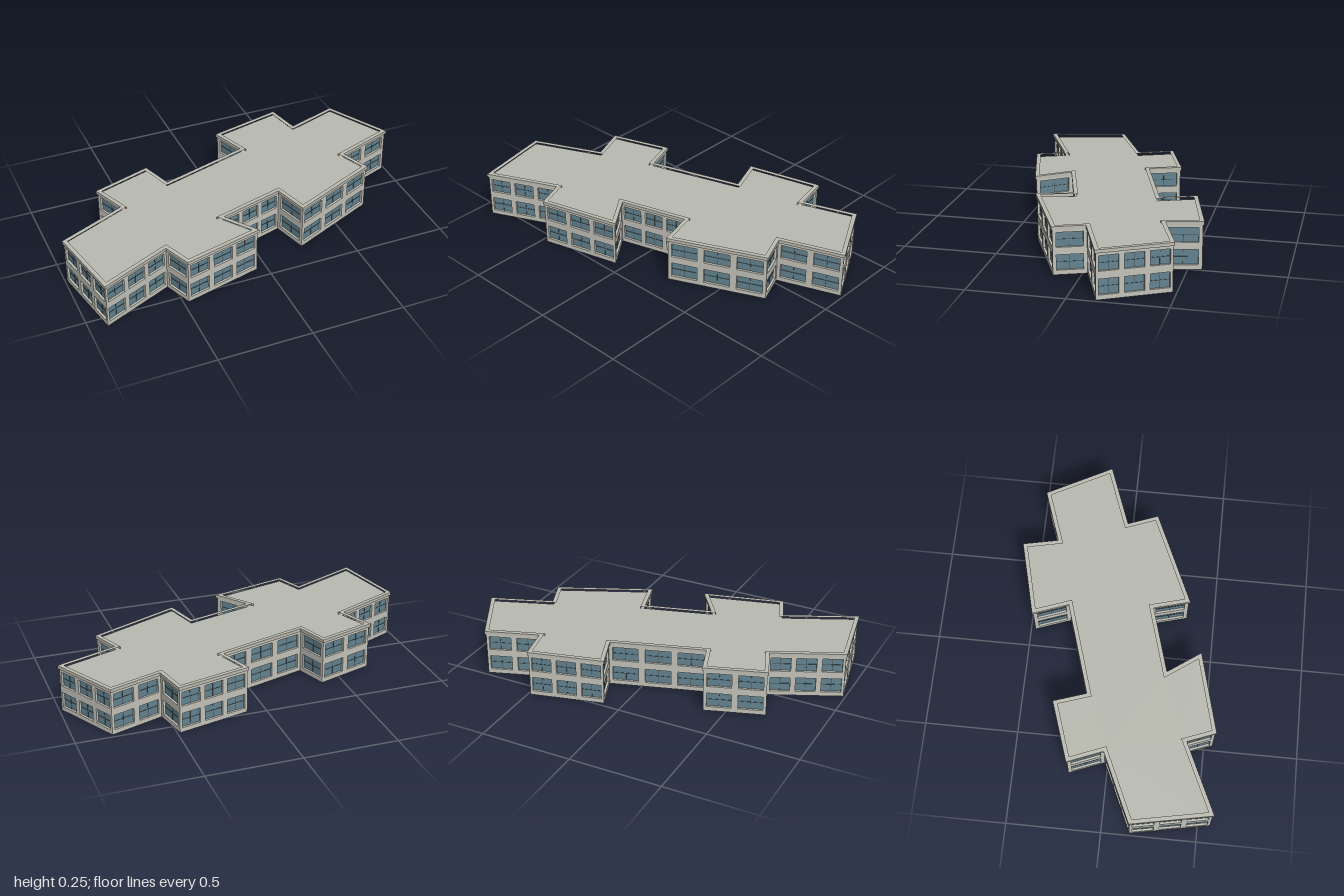
import * as THREE from 'three';

const mat = (name, color, side = THREE.FrontSide) => {
  const m = new THREE.MeshStandardMaterial({ color, side });
  m.name = name;
  return m;
};

// Footprint corners [x, z] at the cornice edge, clockwise seen from above
const footprint = [
  [-0.995, 0.145], [-0.63, -0.02], [-0.705, -0.207], [-0.385, -0.313], [-0.327, -0.14],
  [0.16, -0.29], [0.09, -0.48], [0.49, -0.578], [0.53, -0.39], [0.81, -0.487],
  [0.995, -0.14], [0.668, -0.02], [0.73, 0.14], [0.24, 0.358], [0.187, 0.165],
  [-0.166, 0.267], [-0.043, 0.44], [-0.476, 0.553], [-0.535, 0.402], [-0.91, 0.574],
].map(([x, z]) => new THREE.Vector2(x, z));

const TOP = 0.255, WALL_TOP = 0.2375, DEPTH = 0.013, BAY = 0.15;
const STOREYS = [[0.024, 0.105], [0.144, 0.222]];

const outward = (a, b) => {
  const d = b.clone().sub(a).normalize();
  return new THREE.Vector2(d.y, -d.x);
};

// Move every edge of an outline outwards by k (inwards when negative)
function offset(poly, k) {
  const n = poly.length;
  return poly.map((p, i) => {
    const n1 = outward(poly[(i + n - 1) % n], p);
    const n2 = outward(p, poly[(i + 1) % n]);
    return n1.clone().add(n2).multiplyScalar(k / (1 + n1.dot(n2))).add(p);
  });
}

const flat = (poly) => poly.map((p) => new THREE.Vector2(p.x, -p.y));

function rect(path, x0, y0, x1, y1) {
  path.moveTo(x0, y0);
  path.lineTo(x1, y0);
  path.lineTo(x1, y1);
  path.lineTo(x0, y1);
  path.closePath();
  return path;
}

export function createModel() {
  const wallMat = mat('wall render', 0xc4c3ba, THREE.DoubleSide);
  const corniceMat = mat('cornice stone', 0xbfbeb4);
  const roofMat = mat('roof felt', 0xb9bbb1, THREE.DoubleSide);
  const glassMat = mat('window glass', 0x648491, THREE.DoubleSide);
  const barMat = mat('window bars', 0x3c4a50);

  const model = new THREE.Group();
  model.name = 'building';
  const add = (parent, name, geometry, material) => {
    const mesh = new THREE.Mesh(geometry, material);
    mesh.name = name;
    parent.add(mesh);
    return mesh;
  };

  // Facades: one mitred wall panel per edge, with recessed windows on two storeys
  const outer = offset(footprint, -0.006);
  const inner = offset(outer, -DEPTH);
  outer.forEach((a, i) => {
    const j = (i + 1) % outer.length;
    const b = outer[j];
    const length = a.distanceTo(b);
    const normal = outward(a, b);
    const along = a.clone().sub(b).normalize();

    const facade = new THREE.Group();
    facade.name = 'facade';
    facade.position.set(b.x, 0, b.y);
    facade.rotation.y = Math.atan2(normal.x, normal.y);
    model.add(facade);

    const shape = rect(new THREE.Shape(), 0, 0, length, WALL_TOP);
    const bays = Math.max(1, Math.round(length / BAY));
    const pitch = length / bays;
    const width = pitch * 0.79;
    for (let k = 0; k < bays; k++) {
      const cx = (k + 0.5) * pitch;
      for (const [y0, y1] of STOREYS) {
        const cy = (y0 + y1) / 2, height = y1 - y0;
        shape.holes.push(rect(new THREE.Path(), cx - width / 2, y0, cx + width / 2, y1));
        const z = -DEPTH + 0.001;
        add(facade, 'windowPane', new THREE.PlaneGeometry(width, height), glassMat)
          .position.set(cx, cy, z);
        add(facade, 'windowMullion', new THREE.BoxGeometry(0.0015, height, 0.002), barMat)
          .position.set(cx, cy, z + 0.001);
        add(facade, 'windowTransom', new THREE.BoxGeometry(width, 0.0015, 0.002), barMat)
          .position.set(cx, cy, z + 0.001);
      }
    }

    const wall = new THREE.ExtrudeGeometry(shape, { depth: DEPTH, bevelEnabled: false });
    wall.translate(0, 0, -DEPTH);
    // Mitre the inner ends so neighbouring walls meet cleanly
    const start = inner[j].clone().sub(b).dot(along);
    const end = inner[i].clone().sub(b).dot(along);
    const pos = wall.attributes.position;
    for (let v = 0; v < pos.count; v++) {
      if (pos.getZ(v) > -DEPTH / 2) continue;
      if (pos.getX(v) < 1e-4) pos.setX(v, start);
      else if (pos.getX(v) > length - 1e-4) pos.setX(v, end);
    }
    wall.computeVertexNormals();
    add(facade, 'wall', wall, wallMat);
  });

  // Cornice and parapet ring around the roof
  const ring = new THREE.Shape(flat(footprint));
  ring.holes.push(new THREE.Path(flat(offset(footprint, -0.022))));
  const cornice = new THREE.ExtrudeGeometry(ring, { depth: TOP - WALL_TOP, bevelEnabled: false });
  cornice.rotateX(-Math.PI / 2);
  add(model, 'cornice', cornice, corniceMat).position.y = WALL_TOP;

  // Flat roof set below the parapet
  const roof = new THREE.ShapeGeometry(new THREE.Shape(flat(offset(footprint, -0.015))));
  roof.rotateX(-Math.PI / 2);
  add(model, 'roof', roof, roofMat).position.y = 0.24;

  return model;
}
